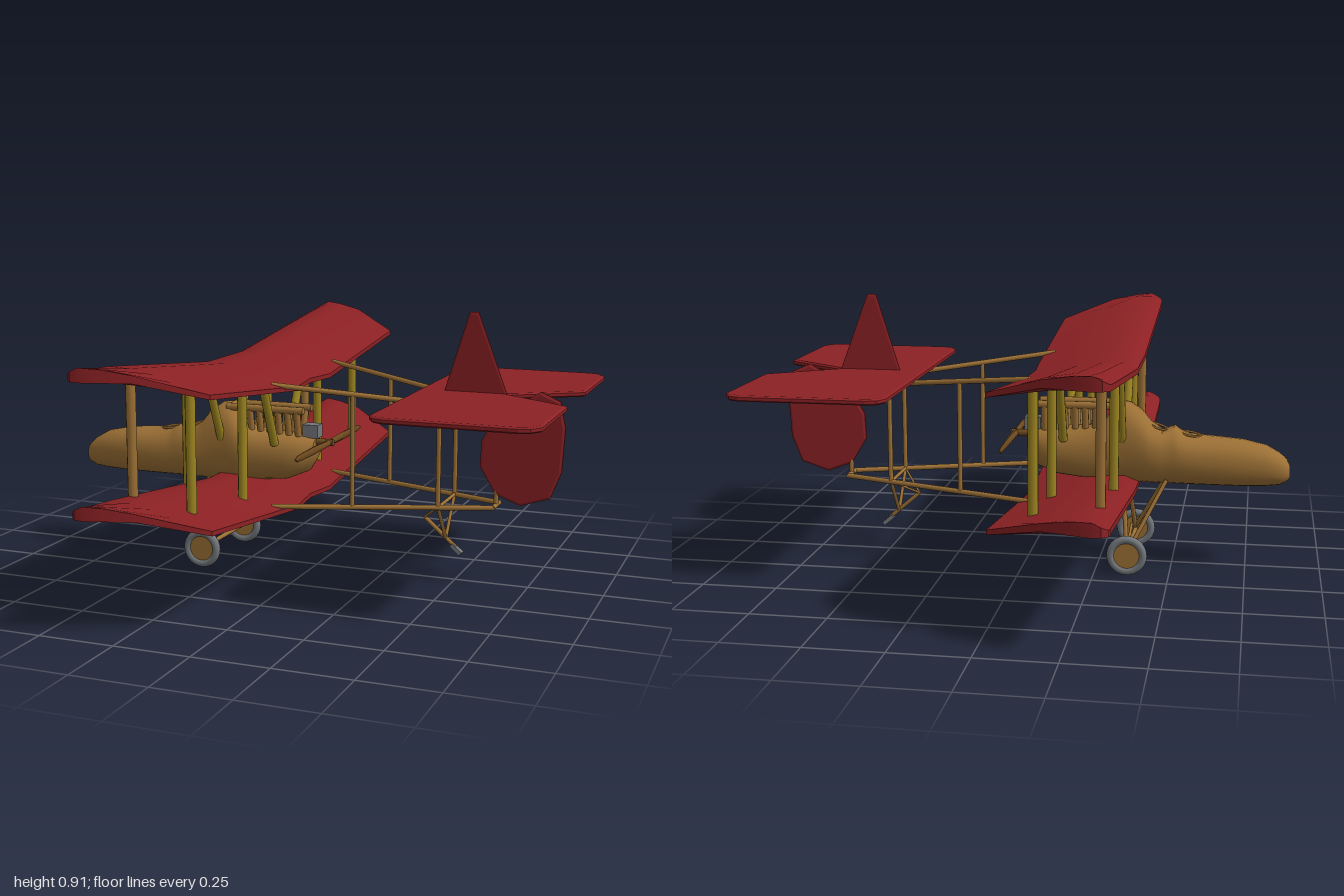
import * as THREE from 'three';
import { toCreasedNormals } from 'three/addons/utils/BufferGeometryUtils.js';

const mat = (name, color) => Object.assign(new THREE.MeshStandardMaterial({ color }), { name });
const V = (x, y, z) => new THREE.Vector3(x, y, z);

// Closed skin through rings of equal length, capped at both ends and facing outward
function loft(rings, crease = 0.6) {
  const tris = [], n = rings[0].length;
  const mid = r => r.reduce((a, p) => a.add(p), V(0, 0, 0)).divideScalar(n);
  const a0 = rings[0], a1 = rings[rings.length - 1], c0 = mid(a0), c1 = mid(a1);
  for (let j = 0; j < n; j++) {
    const k = (j + 1) % n;
    for (let i = 0; i < rings.length - 1; i++) {
      const A = rings[i], B = rings[i + 1];
      tris.push([A[j], B[j], A[k]], [A[k], B[j], B[k]]);
    }
    tris.push([c0, a0[j], a0[k]], [c1, a1[k], a1[j]]);
  }
  const vol = tris.reduce((s, [a, b, c]) => s + a.dot(V(0, 0, 0).crossVectors(b, c)), 0);
  const pts = tris.flatMap(([a, b, c]) => (vol < 0 ? [a, c, b] : [a, b, c]));
  return toCreasedNormals(new THREE.BufferGeometry().setFromPoints(pts), crease);
}

// Linear lookup in a list of [x, value] pairs
function lerpAt(table, x) {
  for (let i = 1; i < table.length; i++) {
    const [x0, v0] = table[i - 1], [x1, v1] = table[i];
    if (x <= x1) return v0 + (v1 - v0) * Math.max(0, (x - x0) / (x1 - x0));
  }
  return table[table.length - 1][1];
}

// Cambered wing with dihedral and raked tips
function wingGeometry(yOff) {
  const top = [[-0.385, 0.703], [-0.34, 0.726], [-0.27, 0.723], [-0.19, 0.71], [-0.01, 0.66]];
  const bottom = [[-0.385, 0.685], [-0.34, 0.682], [-0.19, 0.686], [-0.01, 0.645]];
  const half = [[0, -0.385, -0.025], [0.15, -0.385, -0.01], [0.82, -0.385, -0.01], [0.95, -0.385, -0.19],
    [0.98, -0.383, -0.28], [1, -0.365, -0.335]];
  const stations = [...half.slice(1).reverse().map(([z, a, b]) => [-z, a, b]), ...half];
  const frac = [0, 0.06, 0.12, 0.3, 0.52, 0.75, 1];
  return loft(stations.map(([z, le, te]) => {
    const rise = yOff + Math.max(0, Math.abs(z) - 0.15) * 0.113;
    const at = (f, t) => { const x = le + (te - le) * f; return V(x, lerpAt(t, x) + rise, z); };
    return [...frac.map(f => at(f, top)), ...frac.slice().reverse().map(f => at(f, bottom))];
  }), 0.7);
}

// Flat panel with softly bevelled rim, centred on its thickness
function panel(points, thick) {
  const shape = new THREE.Shape(points.map(([x, y]) => new THREE.Vector2(x, y)));
  const g = new THREE.ExtrudeGeometry(shape, { depth: thick / 2, bevelEnabled: true, bevelThickness: thick / 4,
    bevelSize: 0.008, bevelOffset: -0.008, bevelSegments: 1 });
  return g.translate(0, 0, -thick / 4);
}

export function createModel() {
  const model = new THREE.Group();
  model.name = 'pusherBiplane';
  const red = mat('redFabric', 0x8c2124);
  const wood = mat('wood', 0x9c7035);
  const gold = mat('goldStrut', 0x9c8420);
  const grey = mat('greyMetal', 0x74787c);
  const dark = mat('darkWood', 0x6e4a1e);

  const add = (name, geo, material, x = 0, y = 0, z = 0) => {
    const m = new THREE.Mesh(geo, material);
    m.name = name;
    m.position.set(x, y, z);
    model.add(m);
    return m;
  };
  const rod = (name, a, b, r, material) => {
    const d = b.clone().sub(a);
    const m = add(name, new THREE.CylinderGeometry(r, r, d.length(), 10), material);
    m.position.copy(a).addScaledVector(d, 0.5);
    m.quaternion.setFromUnitVectors(V(0, 1, 0), d.normalize());
    return m;
  };

  // Fuselage stations: x, bottom, top, half width
  const body = [
    [-0.89, 0.325, 0.36, 0.03], [-0.88, 0.31, 0.383, 0.045], [-0.855, 0.298, 0.405, 0.056],
    [-0.81, 0.293, 0.43, 0.068], [-0.73, 0.29, 0.447, 0.08], [-0.64, 0.29, 0.454, 0.087],
    [-0.55, 0.29, 0.46, 0.088], [-0.52, 0.29, 0.474, 0.088], [-0.5, 0.29, 0.488, 0.088],
    [-0.46, 0.29, 0.472, 0.088], [-0.42, 0.29, 0.5, 0.088], [-0.39, 0.29, 0.538, 0.087],
    [-0.35, 0.29, 0.565, 0.086], [-0.31, 0.29, 0.57, 0.085], [-0.27, 0.292, 0.51, 0.085],
    [-0.23, 0.295, 0.482, 0.084], [-0.1, 0.31, 0.472, 0.08], [-0.03, 0.34, 0.467, 0.068], [0.0, 0.39, 0.458, 0.04],
  ];
  const power = c => Math.sign(c) * Math.abs(c) ** 0.85;
  add('fuselage', loft(body.map(([x, b, t, w]) => Array.from({ length: 24 }, (_, i) => {
    const a = i / 24 * Math.PI * 2;
    return V(x, (b + t) / 2 + power(Math.sin(a)) * (t - b) / 2, power(Math.cos(a)) * w);
  })), 0.9), wood);

  // Cockpit rims
  for (const [x, y, tilt] of [[-0.555, 0.461, 0.15], [-0.447, 0.483, 0.3]]) {
    const rim = add('cockpitRim', new THREE.TorusGeometry(0.034, 0.004, 6, 24).rotateX(Math.PI / 2), wood, x, y, 0);
    rim.rotation.z = tilt;
  }

  // Wings
  add('upperWing', wingGeometry(0), red);
  add('lowerWing', wingGeometry(-0.405), red);

  // Struts between the wings, and slanted centre struts
  for (const s of [-1, 1]) {
    for (const x of [-0.33, -0.13]) {
      for (const z of [0.335, 0.71]) {
        const y = (z - 0.15) * 0.113 + (x < -0.2 ? 0 : -0.025);
        rod('wingStrut', V(x, 0.3 + y, s * z), V(x, 0.695 + y, s * z), 0.016, z > 0.5 && x < -0.2 ? wood : gold);
      }
      rod('centreStrut', V(x, 0.44, s * 0.07), V(x, 0.685, s * 0.18), 0.015, gold);
    }

    // Tail booms with uprights
    const zAt = x => s * (0.285 - 0.357 * (x + 0.05));
    const yAt = x => 0.683 - 0.121 * (x + 0.05);
    rod('upperBoom', V(-0.05, yAt(-0.05), zAt(-0.05)), V(0.635, yAt(0.635), zAt(0.635)), 0.009, wood);
    rod('lowerBoom', V(-0.05, 0.277, zAt(-0.05)), V(0.635, 0.277, zAt(0.635)), 0.009, wood);
    for (const x of [0.2, 0.465]) rod('boomUpright', V(x, 0.277, zAt(x)), V(x, yAt(x), zAt(x)), 0.008, wood);
    rod('skidBrace', V(0.465, 0.277, s * 0.1), V(0.465, 0.147, 0), 0.006, wood);
    rod('skidStay', V(0.465, 0.277, s * 0.1), V(0.39, 0.215, 0), 0.004, wood);

    // Undercarriage legs and wheels
    rod('frontLeg', V(-0.48, 0.31, s * 0.06), V(-0.36, 0.08, s * 0.165), 0.007, wood);
    rod('rearLeg', V(-0.335, 0.31, s * 0.07), V(-0.36, 0.08, s * 0.165), 0.008, wood);
    rod('axleBrace', V(-0.36, 0.08, s * 0.16), V(-0.36, 0.135, 0), 0.005, wood);
    add('tyre', new THREE.TorusGeometry(0.054, 0.014, 10, 28), grey, -0.36, 0.075, s * 0.175);
    add('wheelHub', new THREE.CylinderGeometry(0.046, 0.046, 0.016, 24).rotateX(Math.PI / 2), wood, -0.36, 0.075, s * 0.175);

    // Engine cylinder bank with its manifold
    for (let i = 0; i < 6; i++) {
      const x = -0.235 + i * 0.035;
      rod('engineCylinder', V(x, 0.455, s * 0.022), V(x, 0.55, s * 0.04), 0.012, wood);
    }
    rod('manifold', V(-0.32, 0.555, s * 0.04), V(-0.035, 0.555, s * 0.04), 0.013, wood);
  }
  rod('axle', V(-0.36, 0.075, -0.175), V(-0.36, 0.075, 0.175), 0.008, wood);
  rod('sternPost', V(0.635, 0.272, 0), V(0.635, 0.605, 0), 0.008, wood);
  for (const y of [0.277, 0.605]) rod('sternBar', V(0.635, y, -0.045), V(0.635, y, 0.045), 0.008, wood);
  rod('skidCrossbar', V(0.465, 0.277, -0.1), V(0.465, 0.277, 0.1), 0.006, wood);

  // Tail skid
  rod('tailSkid', V(0.39, 0.215, 0), V(0.5, 0.12, 0), 0.007, wood);
  const foot = add('skidFoot', new THREE.BoxGeometry(0.045, 0.014, 0.024), grey, 0.503, 0.113, 0);
  foot.rotation.z = -0.7;

  // Engine block and propeller
  add('engineBlock', new THREE.BoxGeometry(0.055, 0.045, 0.05), grey, -0.017, 0.483, 0);
  rod('propellerShaft', V(-0.03, 0.445, 0), V(0.06, 0.445, 0), 0.012, dark);
  const blades = [[-0.31, 0.004], [-0.29, 0.011], [-0.15, 0.014], [0, 0.01], [0.15, 0.014], [0.29, 0.011], [0.31, 0.004]];
  add('propeller', loft(blades.map(([z, h]) => Array.from({ length: 10 }, (_, i) => {
    const a = i / 10 * Math.PI * 2, w = 0.003 + 0.009 * (1 - Math.abs(z) / 0.31);
    return V(0.045 + Math.cos(a) * w, 0.445 + Math.sin(a) * h, z);
  })), 0.9), dark);

  // Tailplane with a notch for the rudder
  const side = [[0.66, 0], [0.89, 0.15], [0.89, 0.505], [0.865, 0.545], [0.83, 0.557], [0.42, 0.557], [0.385, 0.545], [0.365, 0.51]];
  const outline = [...side, ...side.slice(1).reverse().map(([x, z]) => [x, -z])];
  const tail = add('tailplane', panel(outline, 0.02).rotateX(Math.PI / 2), red, 0, 0.642, 0);
  tail.name = 'tailplane';

  // Fin and rudder
  add('fin', panel([[0.45, 0.645], [0.665, 0.645], [0.563, 0.914], [0.533, 0.914]], 0.008), red);
  add('rudder', panel([[0.775, 0.665], [0.84, 0.637], [0.858, 0.55], [0.85, 0.405], [0.815, 0.315], [0.718, 0.283],
    [0.632, 0.315], [0.578, 0.405], [0.582, 0.492], [0.617, 0.555], [0.705, 0.622]], 0.016), red);
  return model;
}
